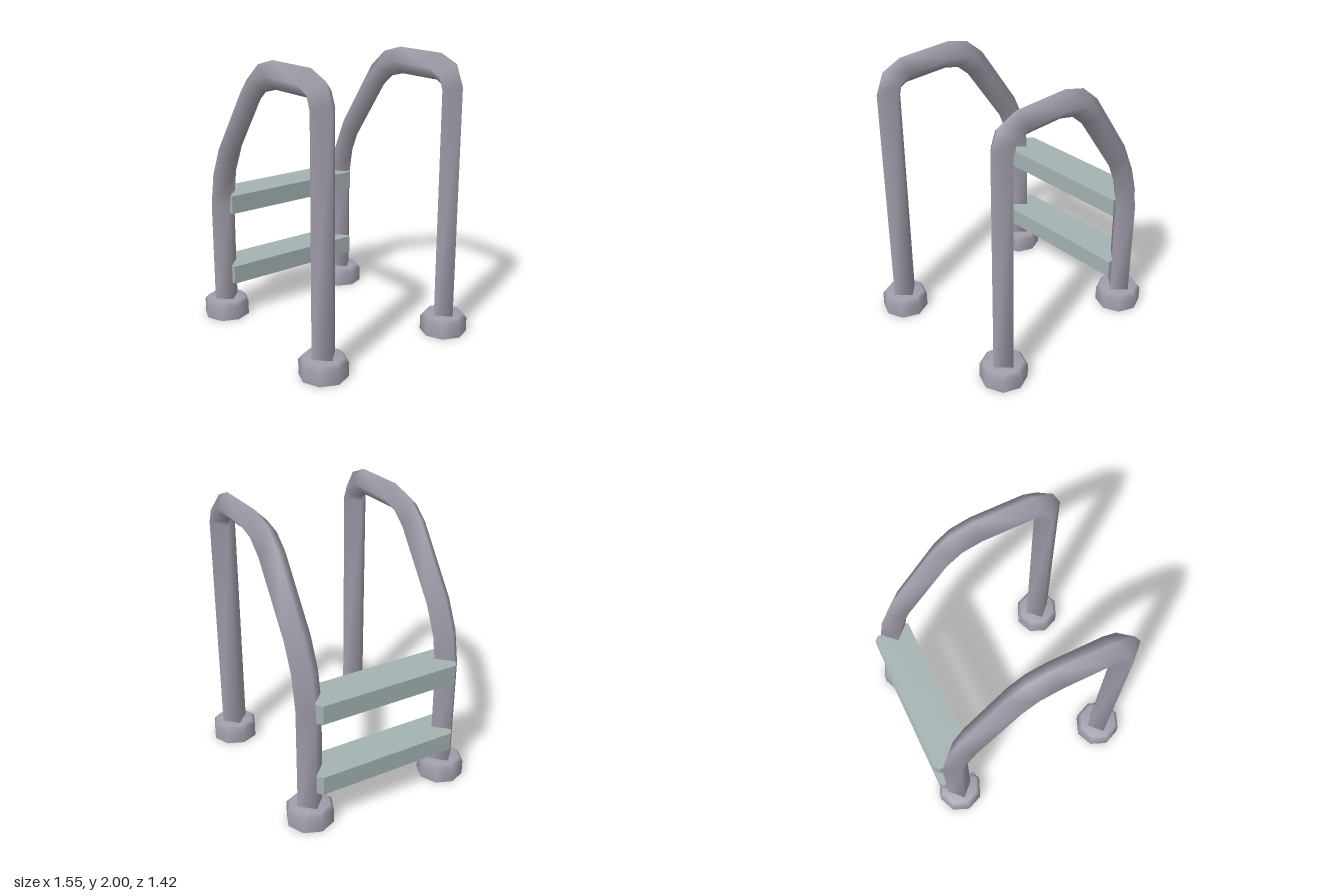
import * as THREE from 'three';

const railMat = new THREE.MeshStandardMaterial({ color: 0xa29dab });
railMat.name = 'rail grey';
const stepMat = new THREE.MeshStandardMaterial({ color: 0xa4b3b2 });
stepMat.name = 'step green grey';

const LEG_X = 0.61, RAIL_Z = 0.545, RAIL_R = 0.095;

// Rail sections in order: outer x, outer y, inner x, inner y
const SECTIONS = [
  [-0.706, 0.05, -0.516, 0.05],
  [-0.706, 0.89, -0.516, 0.87],
  [-0.662, 1.14, -0.476, 1.09],
  [-0.557, 1.367, -0.397, 1.273],
  [-0.233, 1.833, -0.09, 1.708],
  [-0.093, 1.952, 0.0, 1.785],
  [0.08, 2.0, 0.115, 1.814],
  [0.495, 2.0, 0.457, 1.814],
  [0.643, 1.94, 0.503, 1.79],
  [0.704, 1.795, 0.515, 1.745],
  [0.704, 0.05, 0.514, 0.05],
];

// Four-sided bent tube with smooth normals
function railGeometry() {
  const pos = [], index = [];
  for (const [ox, oy, ix, iy] of SECTIONS) {
    const mx = (ox + ix) / 2, my = (oy + iy) / 2;
    pos.push(ox, oy, 0, mx, my, RAIL_R, ix, iy, 0, mx, my, -RAIL_R);
  }
  for (let i = 0; i < SECTIONS.length - 1; i++) {
    for (let j = 0; j < 4; j++) {
      const a = i * 4 + j, b = i * 4 + (j + 1) % 4;
      index.push(a, b, b + 4, a, b + 4, a + 4);
    }
  }
  const geo = new THREE.BufferGeometry();
  geo.setAttribute('position', new THREE.Float32BufferAttribute(pos, 3));
  geo.setIndex(index);
  geo.computeVertexNormals();
  return geo;
}

// Octagonal foot with a bevelled upper rim
function makeFoot() {
  const foot = new THREE.Group();
  foot.name = 'foot';
  const profile = [[0.167, 0], [0.167, 0.105], [0.14, 0.137], [0, 0.137]]
    .map(([r, y]) => new THREE.Vector2(r, y));
  const collar = new THREE.Mesh(new THREE.LatheGeometry(profile, 8), railMat);
  collar.name = 'footCollar';
  const base = new THREE.Mesh(new THREE.CircleGeometry(0.167, 8).rotateX(Math.PI / 2), railMat);
  base.name = 'footBase';
  foot.add(collar, base);
  return foot;
}

// Plank with the two outer corners clipped
function stepGeometry() {
  const x0 = -0.75, x1 = -0.48, z = 0.545, c = 0.03;
  const outline = [[x1, -z], [x1, z], [x0 + c, z], [x0, z - c], [x0, -z + c], [x0 + c, -z]];
  const shape = new THREE.Shape(outline.map(([x, y]) => new THREE.Vector2(x, y)));
  return new THREE.ExtrudeGeometry(shape, { depth: 0.135, bevelEnabled: false })
    .rotateX(-Math.PI / 2);
}

export function createModel() {
  const model = new THREE.Group();
  model.name = 'poolLadder';

  // Handrails, each standing on two feet
  const railGeo = railGeometry();
  for (const side of [1, -1]) {
    const rail = new THREE.Mesh(railGeo, railMat);
    rail.name = side > 0 ? 'frontHandrail' : 'backHandrail';
    rail.position.z = side * RAIL_Z;
    model.add(rail);
    for (const x of [-LEG_X, LEG_X]) {
      const foot = makeFoot();
      foot.position.set(x, 0, side * RAIL_Z);
      model.add(foot);
    }
  }

  // Steps
  const stepGeo = stepGeometry();
  [0.275, 0.82].forEach((y, i) => {
    const step = new THREE.Mesh(stepGeo, stepMat);
    step.name = i ? 'upperStep' : 'lowerStep';
    step.position.y = y;
    model.add(step);
  });

  return model;
}
